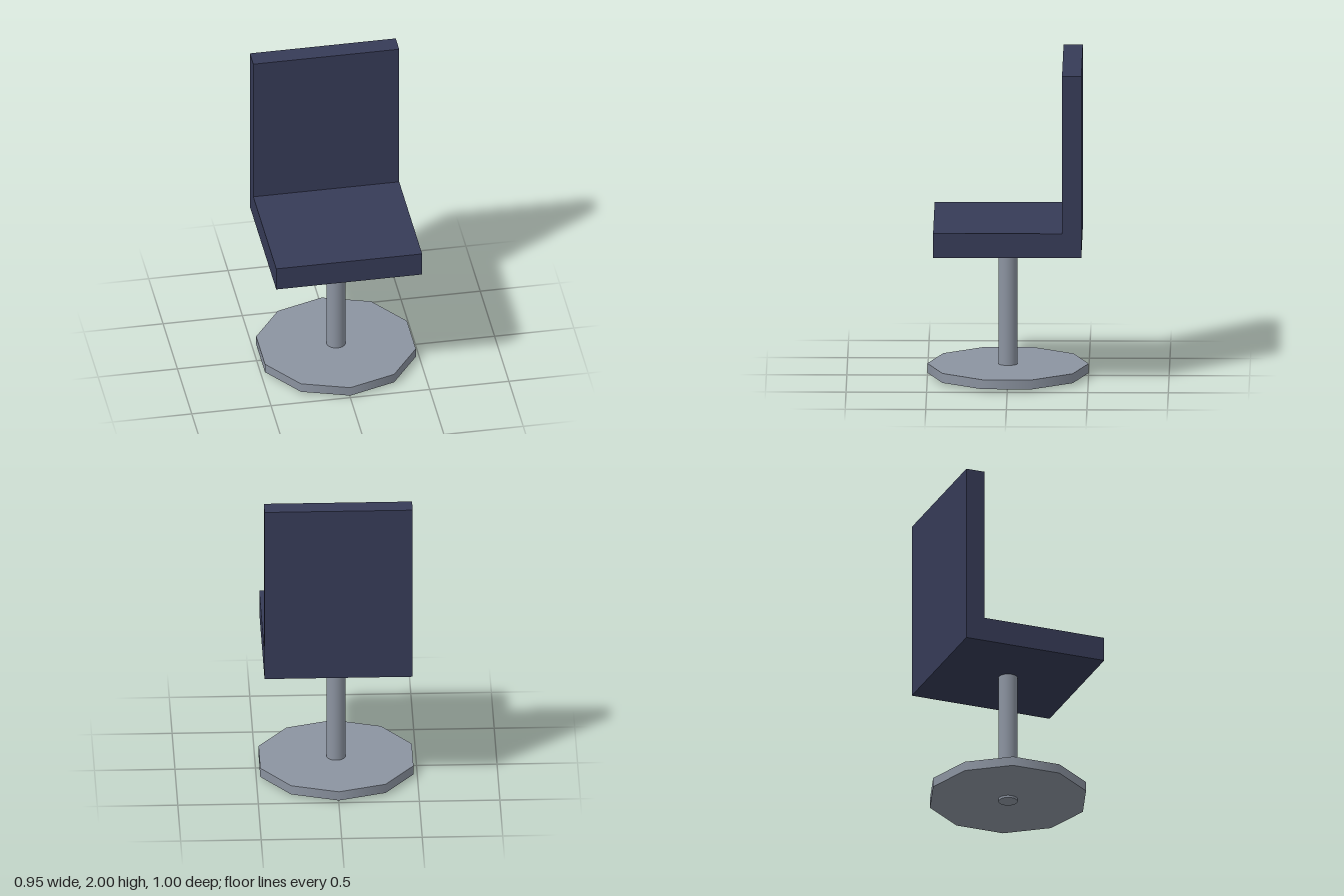
import * as THREE from 'three';

export function createModel() {
  const group = new THREE.Group();
  const navy = new THREE.MeshStandardMaterial({ name: 'navy upholstery', color: 0x363b57 });
  const metal = new THREE.MeshStandardMaterial({ name: 'grey metal', color: 0x8c94a1 });

  const add = (name, geometry, material, y = 0) => {
    const mesh = new THREE.Mesh(geometry, material);
    mesh.name = name;
    mesh.position.y = y;
    group.add(mesh);
  };

  // Seat and backrest: one L-shaped side profile (z, y), extruded across the width
  const width = 0.92, half = width / 2;
  const profile = new THREE.Shape([
    [-half, 0.845], [half, 0.845], [half, 1], [-0.34, 1], [-0.34, 2], [-half, 2],
  ].map(([z, y]) => new THREE.Vector2(z, y)));
  const seat = new THREE.ExtrudeGeometry(profile, { depth: width, bevelEnabled: false });
  seat.translate(0, 0, -half).rotateY(-Math.PI / 2);
  add('seatAndBackrest', seat, navy);

  // Round post, reaching just below the base plate
  add('post', new THREE.CylinderGeometry(0.06, 0.06, 0.85, 32), metal, 0.425);

  // Ten-sided base plate with a corner facing front
  add('basePlate', new THREE.CylinderGeometry(0.5, 0.5, 0.06, 10), metal, 0.045);

  return group;
}
